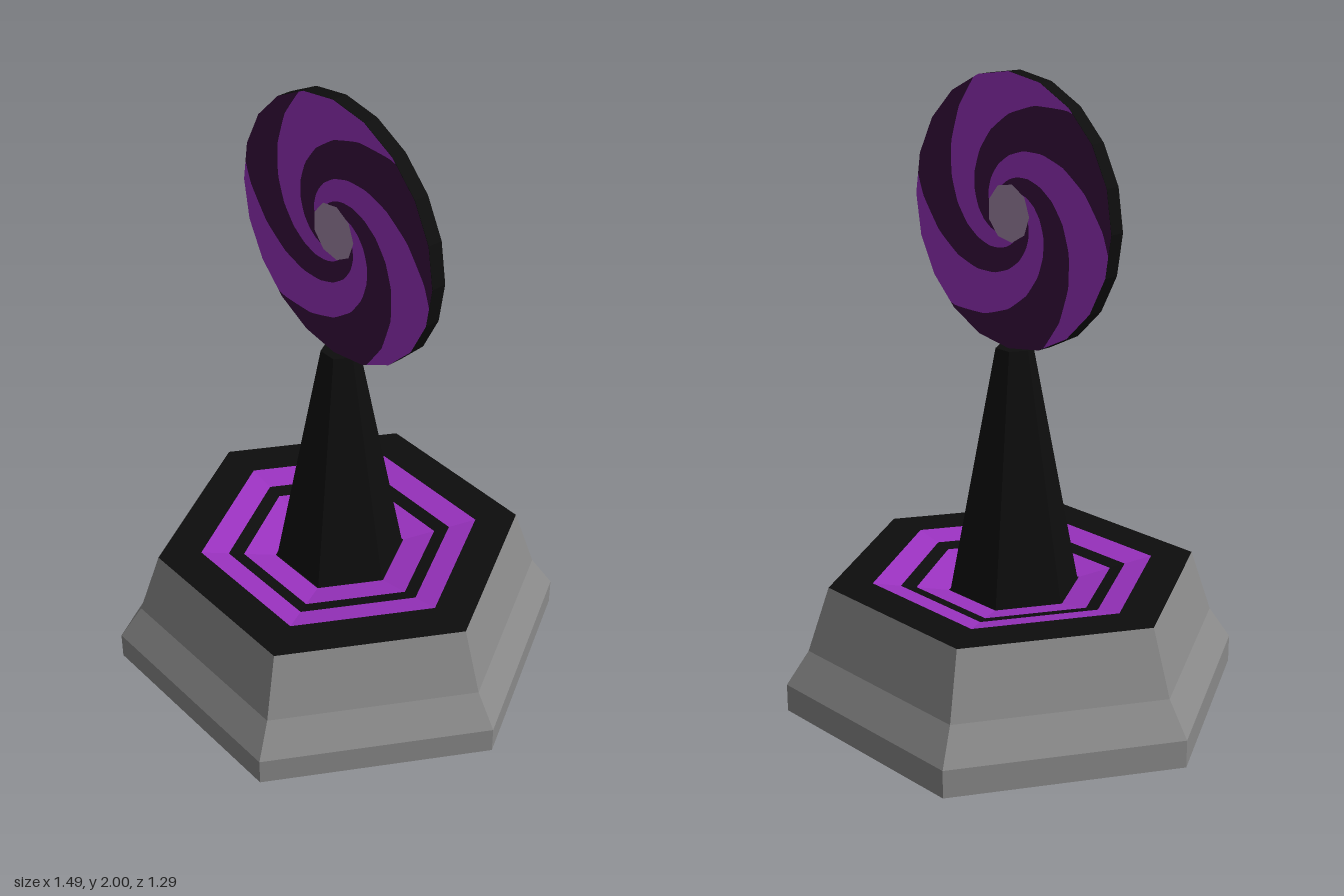
import * as THREE from 'three';

const colour = (name, hex) => {
  const m = new THREE.MeshStandardMaterial({ color: hex });
  m.name = name;
  return m;
};

export function createModel() {
  const stone = colour('grey stone', 0x8a8a8a);
  const black = colour('black', 0x0d0d0d);
  const purple = colour('bright purple', 0x9a32c0);
  const plum = colour('dark plum', 0x3a1040);
  const mauve = colour('pale mauve', 0xa58aac);

  const model = new THREE.Group();
  model.name = 'swirlTrophy';

  const add = (name, geometry, material, parent = model) => {
    const mesh = new THREE.Mesh(geometry, material);
    mesh.name = name;
    parent.add(mesh);
    return mesh;
  };

  // Faceted hexagonal ring with corners on the x axis, from [radius, height] pairs
  const hexBand = (name, profile, material) => {
    const points = profile.map(([r, y]) => new THREE.Vector2(r, y));
    const g = new THREE.LatheGeometry(points, 6, Math.PI / 6).toNonIndexed();
    g.computeVertexNormals();
    return add(name, g, material);
  };

  // Base: stepped stone sides with a black underside and rim
  hexBand('baseSides', [[0.743, 0], [0.743, 0.09], [0.67, 0.2], [0.6, 0.41]], stone);
  hexBand('baseUnderside', [[0, 0], [0.743, 0]], black);
  hexBand('baseTopRim', [[0.6, 0.41], [0.46, 0.41]], black);

  // Shallow sunken dish of alternating rings
  const dishY = (r) => 0.41 - (0.46 - r) * 0.2;
  const radii = [0.46, 0.37, 0.32, 0.215, 0.15];
  for (let i = 0; i < radii.length - 1; i++) {
    const [a, b] = [radii[i], radii[i + 1]];
    hexBand('dishRing' + (i + 1), [[a, dishY(a)], [b, dishY(b)]], i % 2 ? black : purple);
  }

  // Tapered hexagonal post
  hexBand('post', [[0.211, 0.355], [0.06, 1.155], [0, 1.155]], black);

  // Disc: 20-sided plate standing upright on the post
  const R = 0.4225, SIDES = 20, HALF = 0.025;
  const disc = new THREE.Group();
  disc.name = 'disc';
  disc.position.y = 2 - R;
  model.add(disc);

  const plate = new THREE.CylinderGeometry(R, R, HALF * 2 - 0.002, SIDES).toNonIndexed();
  plate.rotateX(Math.PI / 2);
  plate.computeVertexNormals();
  add('discPlate', plate, black, disc);

  // Radius of the polygon outline at an angle, relative to its corners
  const step = (Math.PI * 2) / SIDES;
  const outline = (a) => {
    const d = ((a % step) + step) % step - step / 2;
    return Math.cos(step / 2) / Math.cos(d);
  };

  // One swirl arm: a logarithmic spiral band between two rim angles
  const TURN = 1.95, INNER = 0.07;
  const armGeometry = (start, end) => {
    const rows = 40, cols = 20, pos = [], index = [];
    for (let i = 0; i <= rows; i++) {
      const r = INNER + (R - INNER) * (i / rows);
      for (let j = 0; j <= cols; j++) {
        const a = start + (end - start) * (j / cols) + TURN * Math.log(R / r);
        const q = r * outline(a);
        pos.push(q * Math.cos(a), q * Math.sin(a), HALF);
        if (i < rows && j < cols) {
          const n = i * (cols + 1) + j, m = n + cols + 1;
          index.push(n, m, m + 1, n, m + 1, n + 1);
        }
      }
    }
    const g = new THREE.BufferGeometry();
    g.setAttribute('position', new THREE.Float32BufferAttribute(pos, 3));
    g.setIndex(index);
    g.computeVertexNormals();
    return g;
  };

  // The same swirl on both faces, turned half round for the back
  for (const side of ['front', 'back']) {
    const face = new THREE.Group();
    face.name = side + 'Swirl';
    face.rotation.y = side === 'back' ? Math.PI : 0;
    disc.add(face);
    for (let k = 0; k < 6; k++) {
      const start = THREE.MathUtils.degToRad(51 + 60 * k);
      add('swirlArm' + (k + 1), armGeometry(start, start + Math.PI / 3), k % 2 ? plum : purple, face);
    }
    add('swirlCentre', new THREE.CircleGeometry(0.09, 9), mauve, face).position.z = HALF + 0.001;
  }

  return model;
}
